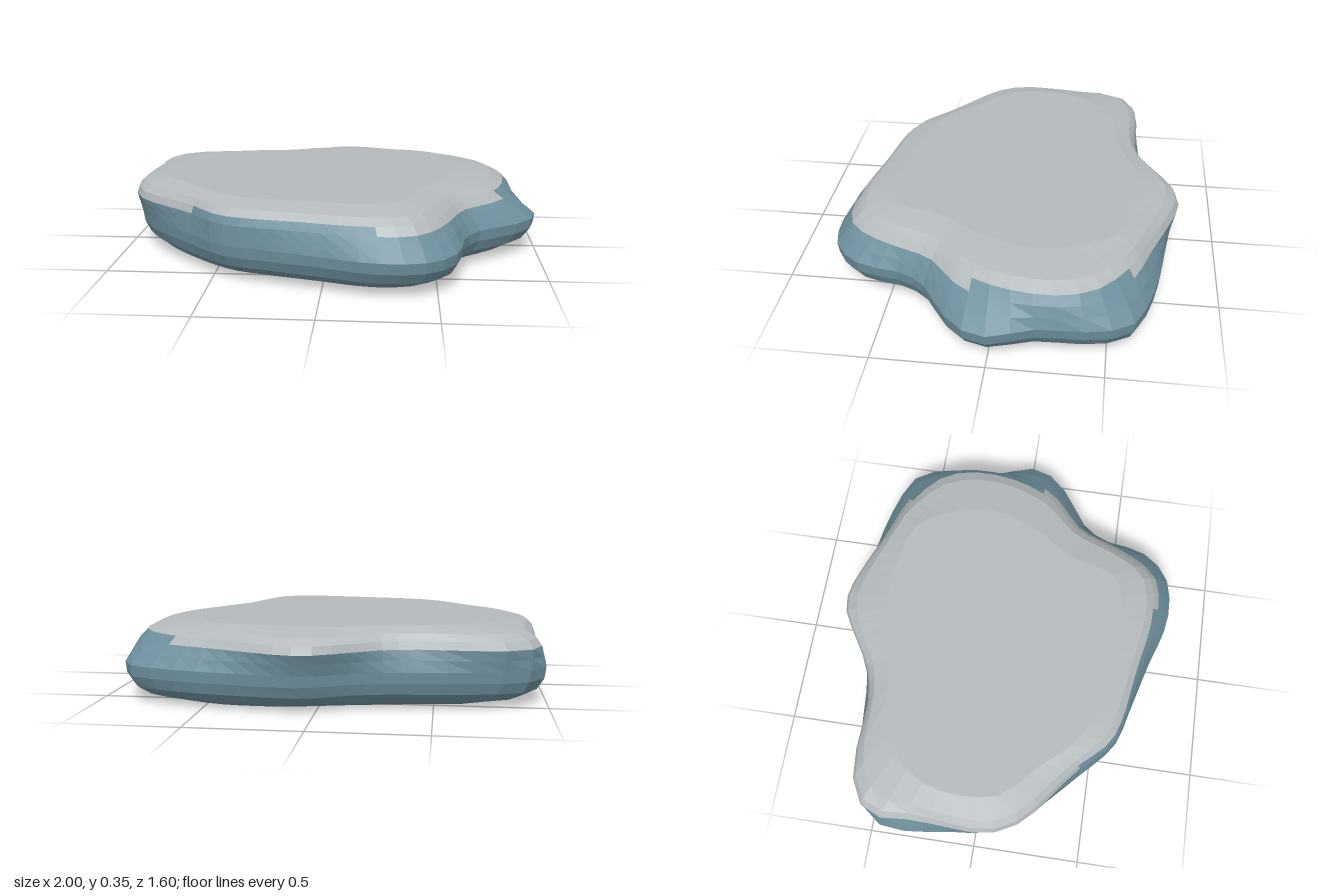
import * as THREE from 'three';

const SEGMENTS = 60;

// Key outlines as x, z pairs, from the underside to the top plateau
const UNDERSIDE = [.65, .05, .68, -.2, .66, -.48, .5, -.58, .2, -.61, -.15, -.54, -.45, -.48, -.7, -.42,
  -.76, -.1, -.68, .15, -.5, .36, -.25, .47, 0, .53, .25, .56, .4, .47, .48, .3, .6, .16];
const BELLY = [1, 0, .93, -.2, .92, -.42, .86, -.6, .65, -.69, .3, -.75, .05, -.77, -.15, -.68, -.3, -.64,
  -.6, -.61, -.88, -.55, -.98, -.46, -1, -.34, -.97, -.1, -.95, .05, -.86, .21, -.62, .45, -.45, .6, -.25, .66,
  0, .73, .15, .78, .3, .8, .46, .77, .57, .67, .61, .55, .63, .43, .7, .32, .85, .22, .96, .12];
const SHOULDER = [.86, -.05, .88, -.3, .82, -.46, .65, -.59, .45, -.67, .25, -.76, .1, -.81, 0, -.8, -.15, -.71,
  -.3, -.62, -.45, -.59, -.6, -.6, -.77, -.6, -.89, -.56, -.96, -.47, -.95, -.3, -.97, -.05, -.97, .06, -.9, .21,
  -.62, .43, -.46, .59, -.1, .67, .2, .72, .4, .69, .5, .56, .57, .41, .62, .29, .78, .13];
const PLATEAU = [.61, -.1, .61, -.25, .56, -.4, .48, -.52, .3, -.57, .1, -.59, -.1, -.58, -.25, -.52, -.5, -.48,
  -.68, -.41, -.8, -.25, -.83, -.05, -.8, .1, -.65, .25, -.52, .39, -.4, .46, 0, .53, .2, .55, .34, .5,
  .39, .4, .42, .27, .53, .1];

// Smooths an outline and samples its radius at equal angles
function radii(flat) {
  const points = [];
  for (let i = 0; i < flat.length; i += 2) points.push(new THREE.Vector3(flat[i], 0, flat[i + 1]));
  const turn = Math.PI * 2;
  const polar = new THREE.CatmullRomCurve3(points, true).getPoints(300).slice(0, 300)
    .map(p => [(Math.atan2(p.z, p.x) + turn) % turn, Math.hypot(p.x, p.z)])
    .sort((a, b) => a[0] - b[0]);
  const first = polar[0], last = polar[polar.length - 1];
  polar.push([first[0] + turn, first[1]]);
  polar.unshift([last[0] - turn, last[1]]);
  return Array.from({ length: SEGMENTS }, (_, i) => {
    const a = i / SEGMENTS * turn;
    const k = polar.findIndex(p => p[0] > a);
    const [a0, r0] = polar[k - 1], [a1, r1] = polar[k];
    return r0 + (r1 - r0) * (a - a0) / Math.max(a1 - a0, 1e-6);
  });
}

export function createModel() {
  const group = new THREE.Group();
  group.name = 'flatRock';
  const stone = new THREE.MeshStandardMaterial({ color: 0xb4babc, flatShading: true });
  stone.name = 'pale stone';
  const slate = new THREE.MeshStandardMaterial({ color: 0x6d8f9c, flatShading: true });
  slate.name = 'blue slate';

  const under = radii(UNDERSIDE), belly = radii(BELLY), shoulder = radii(SHOULDER), plateau = radii(PLATEAU);

  // Each level: height, the two outlines it lies between, and the blend
  const levels = [
    [0, under, belly, 0], [.03, under, belly, .58], [.07, under, belly, .85], [.12, under, belly, .97],
    [.17, belly, shoulder, .02], [.22, belly, shoulder, .42], [.265, belly, shoulder, .85],
    [.3, shoulder, plateau, .1], [.33, shoulder, plateau, .32], [.355, shoulder, plateau, 1],
  ];
  const rings = levels.map(([y, from, to, t]) => from.map((r, i) => {
    const a = i / SEGMENTS * Math.PI * 2, radius = r + (to[i] - r) * t;
    return [radius * Math.cos(a), y, radius * Math.sin(a)];
  }));

  // The pale cap starts higher along the front and the right flank
  const STEP = 6;
  const startsHigh = i => {
    const d = (i + .5) / SEGMENTS * 360;
    return (d > 72 && d < 144) || d < 8 || d > 320;
  };

  const capFaces = [], bodyFaces = [];
  const top = rings.length - 1;
  for (let i = 0; i < SEGMENTS; i++) {
    const n = (i + 1) % SEGMENTS;
    for (let j = 0; j < top; j++) {
      const a = rings[j][i], b = rings[j][n], c = rings[j + 1][i], d = rings[j + 1][n];
      const pale = j > STEP || (j === STEP && !startsHigh(i));
      (pale ? capFaces : bodyFaces).push(...a, ...c, ...d, ...a, ...d, ...b);
    }
    capFaces.push(0, .355, 0, ...rings[top][n], ...rings[top][i]);
    bodyFaces.push(0, 0, 0, ...rings[0][i], ...rings[0][n]);
  }

  const addPart = (name, faces, material) => {
    const geometry = new THREE.BufferGeometry();
    geometry.setAttribute('position', new THREE.Float32BufferAttribute(faces, 3));
    geometry.computeVertexNormals();
    const mesh = new THREE.Mesh(geometry, material);
    mesh.name = name;
    group.add(mesh);
  };
  addPart('rockTop', capFaces, stone);
  addPart('rockBody', bodyFaces, slate);
  return group;
}
